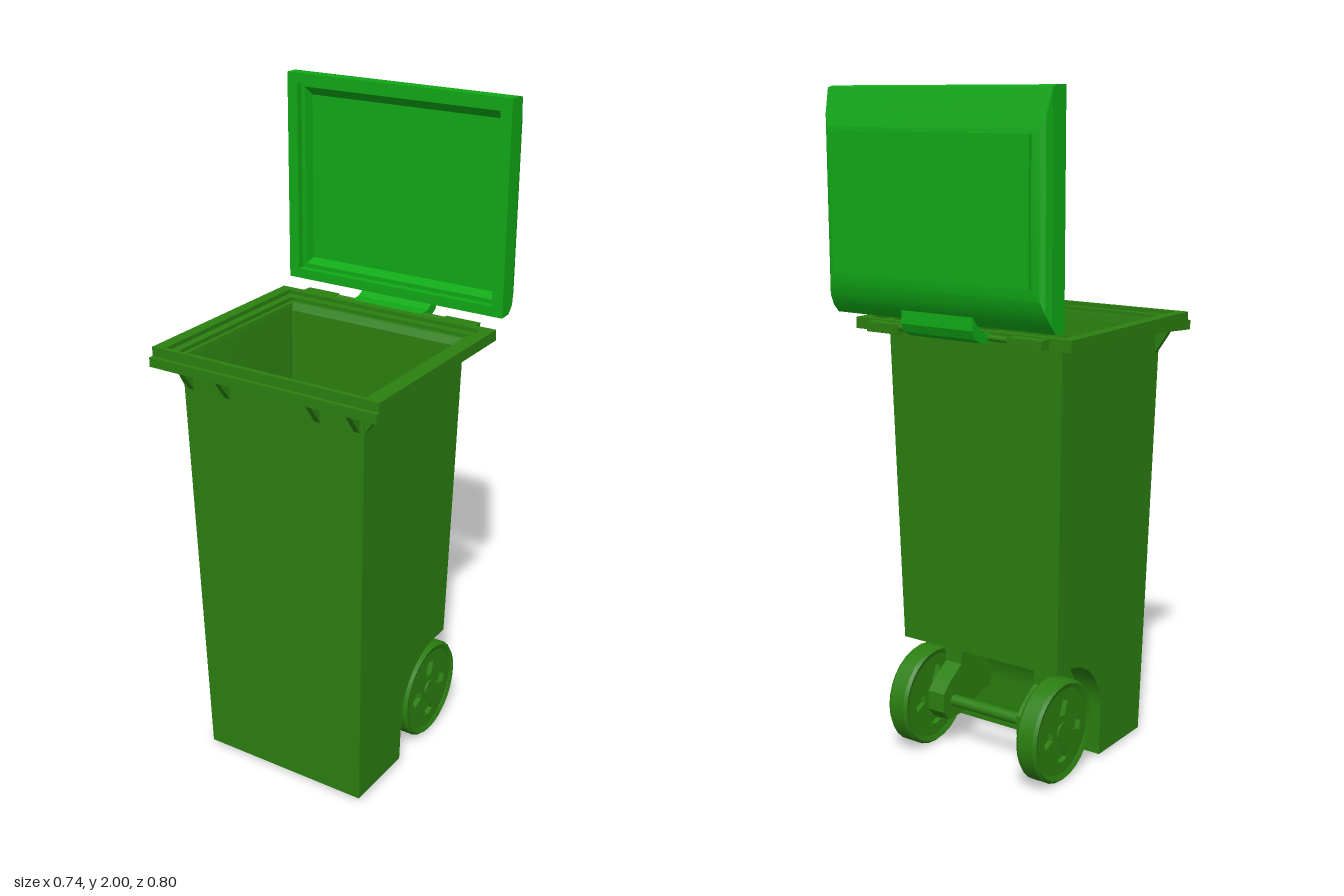
import * as THREE from 'three';
import { toCreasedNormals } from 'three/addons/utils/BufferGeometryUtils.js';

const bodyMat = new THREE.MeshStandardMaterial({ color: 0x2b7f10 });
const lidMat = new THREE.MeshStandardMaterial({ color: 0x10a916 });

// Joins rectangular rings [height, halfWidth, back, front] and caps both ends
function loft(rings) {
  const pos = [], idx = [], n = rings.length;
  for (const [h, x, b, f] of rings) pos.push(x, h, f, x, h, b, -x, h, b, -x, h, f);
  for (let i = 0; i < n - 1; i++) for (let j = 0; j < 4; j++) {
    const a = i * 4 + j, b = i * 4 + (j + 1) % 4;
    idx.push(a, b, b + 4, a, b + 4, a + 4);
  }
  const e = (n - 1) * 4;
  idx.push(e, e + 1, e + 2, e, e + 2, e + 3, 2, 1, 0, 3, 2, 0);
  const g = new THREE.BufferGeometry();
  g.setAttribute('position', new THREE.Float32BufferAttribute(pos, 3));
  g.setIndex(idx);
  return toCreasedNormals(g, 0.3);
}

// Extrudes a side outline of [z, y] points across x, centred on cx
function sideExtrude(shape, width, cx = 0) {
  const s = Array.isArray(shape) ? new THREE.Shape(shape.map(p => new THREE.Vector2(...p))) : shape;
  return new THREE.ExtrudeGeometry(s, { depth: width, bevelEnabled: false, curveSegments: 14 })
    .translate(0, 0, -width / 2).rotateY(-Math.PI / 2).translate(cx, 0, 0);
}

function box(w, h, d, x, y, z) {
  return new THREE.BoxGeometry(w, h, d).translate(x, y, z);
}

function rod(r, length, y, z) {
  return new THREE.CylinderGeometry(r, r, length, 16).rotateZ(Math.PI / 2).translate(0, y, z);
}

// Tapered outer wall at a given height
const halfWidth = y => 0.272 + 0.022 * y;
const frontZ = y => 0.31 + 0.024 * y;
const backZ = y => -0.168 - 0.02 * y;
const wall = y => [y, halfWidth(y), backZ(y), frontZ(y)];

function makeWheel(side) {
  const wheel = new THREE.Group();
  const add = (name, g) => {
    const m = new THREE.Mesh(g, bodyMat);
    m.name = name;
    wheel.add(m);
  };
  // Tyre ring
  const profile = [[0.132, -0.03], [0.147, -0.035], [0.155, -0.026], [0.155, 0.026], [0.147, 0.035], [0.132, 0.03], [0.132, -0.03]];
  const tyre = new THREE.LatheGeometry(profile.map(p => new THREE.Vector2(...p)), 28).rotateZ(-Math.PI / 2);
  add('tyre', toCreasedNormals(tyre, 0.5));
  // Disc with four wedge-shaped pockets
  const disc = new THREE.Shape().absarc(0, 0, 0.134, 0, Math.PI * 2);
  for (let i = 0; i < 4; i++) {
    const a = i * Math.PI / 2;
    disc.holes.push(new THREE.Path([[0.05, -0.012], [0.09, -0.026], [0.098, 0], [0.09, 0.026], [0.05, 0.012]]
      .map(p => new THREE.Vector2(...p).rotateAround(new THREE.Vector2(), a))));
  }
  add('wheelDisc', sideExtrude(disc, 0.056));
  add('pocketFloor', rod(0.12, 0.024, 0, 0));
  add('hub', rod(0.03, 0.066, 0, 0));
  wheel.position.set(side * 0.236, 0.156, -0.12);
  return wheel;
}

export function createModel() {
  const model = new THREE.Group();
  const add = (name, g, mat = bodyMat) => {
    const m = new THREE.Mesh(g, mat);
    m.name = name;
    model.add(m);
  };

  // Lower body with the wheel arch cut from the back
  const lower = new THREE.Shape();
  lower.moveTo(frontZ(0.01), 0.01);
  lower.lineTo(frontZ(0.6), 0.6);
  lower.lineTo(backZ(0.6), 0.6);
  lower.lineTo(backZ(0.35), 0.35);
  lower.lineTo(-0.12, 0.35);
  lower.absarc(-0.12, 0.158, 0.192, Math.PI / 2, 0, true);
  lower.lineTo(0.074, 0.01);
  const lowerGeo = sideExtrude(lower, 2);
  const p = lowerGeo.attributes.position;
  for (let i = 0; i < p.count; i++) p.setX(i, p.getX(i) * halfWidth(p.getY(i)));
  lowerGeo.computeVertexNormals();
  add('lowerBody', toCreasedNormals(lowerGeo, 0.5));

  // Upper body: outer wall, stepped rim, inner wall and floor
  add('upperBody', loft([
    wall(0.6), wall(1.312),
    [1.312, 0.372, -0.26, 0.385], [1.345, 0.372, -0.26, 0.385],
    [1.345, 0.335, -0.235, 0.37], [1.333, 0.335, -0.235, 0.37],
    [1.333, 0.31, -0.21, 0.345], [1.322, 0.31, -0.21, 0.345],
    [1.322, 0.297, -0.2, 0.335], [1.30, 0.292, -0.187, 0.332],
    [0.62, 0.282, -0.165, 0.29],
  ]));

  // Skirt below the rim, deepest at the front
  add('frontSkirt', sideExtrude([[0.335, 1.294], [0.4, 1.29], [0.4, 1.318], [0.335, 1.318]], 0.744));
  for (const s of [-1, 1]) {
    add('sideSkirt', sideExtrude([[0.34, 1.294], [0.34, 1.315], [0.05, 1.315]], 0.074, s * 0.335));

    // Ribs bracing the rim
    for (const x of [0.15, 0.275]) {
      add('frontRib', sideExtrude([[0.33, 1.21], [0.392, 1.295], [0.33, 1.295]], 0.018, s * x));
    }
    const rib = new THREE.Shape([[0.29, 1.21], [0.35, 1.3], [0.29, 1.3]].map(q => new THREE.Vector2(s * q[0], q[1])));
    add('sideRib', new THREE.ExtrudeGeometry(rib, { depth: 0.018, bevelEnabled: false }).translate(0, 0, 0.318));

    // Hinge tabs at the back of the rim
    add('hingeTab', box(0.112, 0.028, 0.042, s * 0.245, 1.328, -0.276));

    // Axle brackets and wheels
    add('axleBracket', sideExtrude([
      [0.08, 0.14], [0.04, 0.14], [-0.07, 0.1], [-0.145, 0.1], [-0.17, 0.13], [-0.17, 0.19],
      [-0.14, 0.22], [-0.08, 0.26], [-0.08, 0.352], [0.03, 0.32], [0.08, 0.24],
    ], 0.06, s * 0.165));
    const wheel = makeWheel(s);
    wheel.name = s > 0 ? 'leftWheel' : 'rightWheel';
    model.add(wheel);
  }
  add('axle', rod(0.018, 0.42, 0.156, -0.12));
  add('hingePin', rod(0.009, 0.4, 1.333, -0.284));

  // Open lid: a shallow tray standing upright, its hollow facing forward
  add('lid', loft([
    [-0.389, 0.335, -1.87, -1.485],
    [-0.385, 0.354, -1.89, -1.46],
    [-0.375, 0.365, -1.925, -1.425],
    [-0.355, 0.372, -1.995, -1.392],
    [-0.335, 0.372, -2, -1.37],
    [-0.295, 0.372, -2, -1.368],
    [-0.295, 0.338, -1.97, -1.398],
    [-0.318, 0.338, -1.97, -1.398],
    [-0.318, 0.325, -1.957, -1.411],
    [-0.348, 0.318, -1.93, -1.425],
  ]).rotateX(Math.PI / 2), lidMat);
  add('lidPanel', box(0.66, 0.39, 0.02, 0, 1.685, -0.39), lidMat);

  // Curved hinge arm under the lid
  add('lidHinge', sideExtrude([
    [-0.266, 1.325], [-0.275, 1.318], [-0.32, 1.322], [-0.348, 1.335], [-0.36, 1.36],
    [-0.358, 1.4], [-0.33, 1.39], [-0.322, 1.358], [-0.3, 1.346], [-0.272, 1.344],
  ].reverse(), 0.244), lidMat);

  return model;
}
